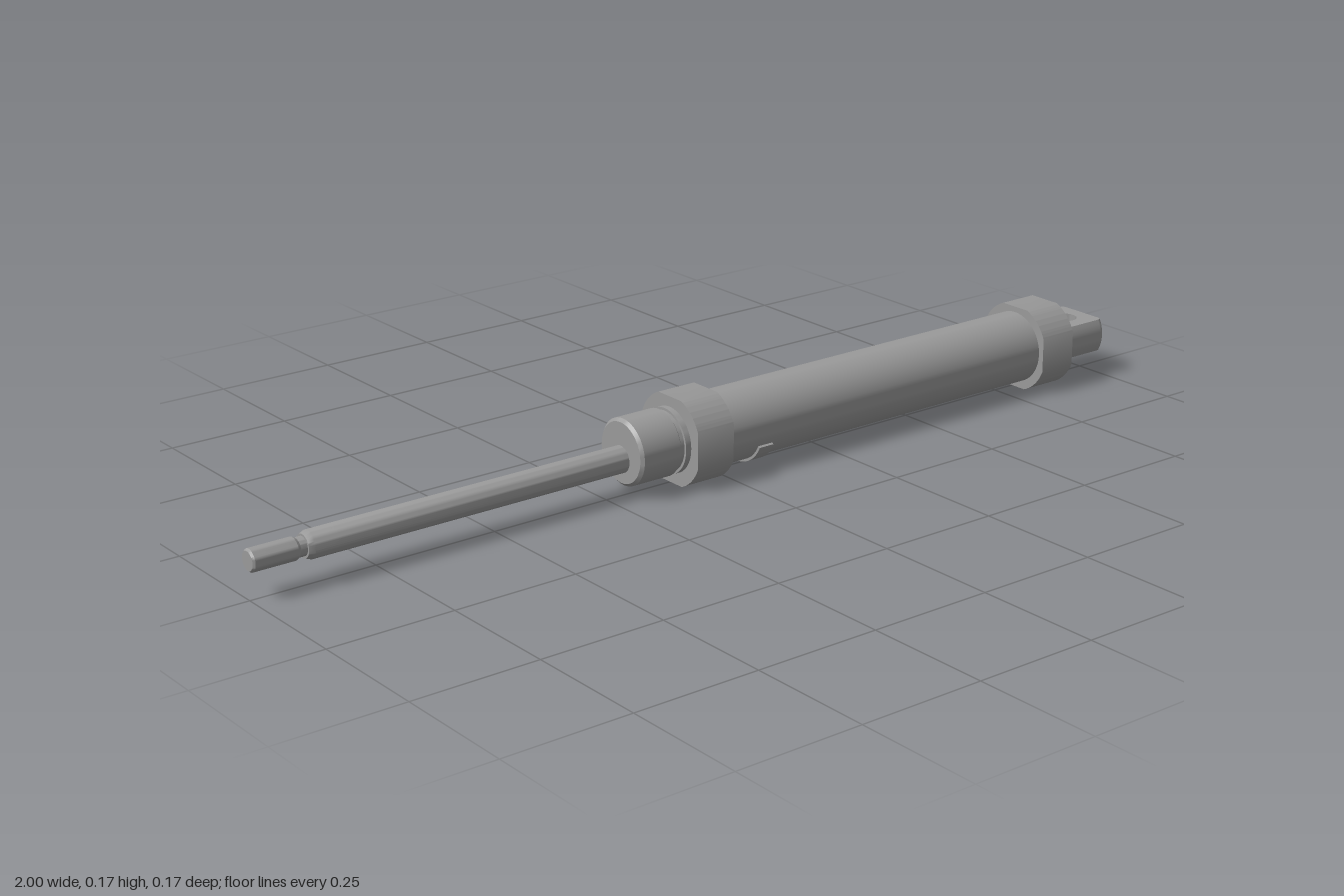
import * as THREE from 'three';
import { toCreasedNormals } from 'three/addons/utils/BufferGeometryUtils.js';

const AXIS = 0.0855; // height of the barrel axis
const material = new THREE.MeshStandardMaterial({ color: 0x9a9a9a });

function part(name, geometry, parent) {
  const mesh = new THREE.Mesh(toCreasedNormals(geometry, 0.5), material);
  mesh.name = name;
  parent.add(mesh);
  return mesh;
}

// Turned part along x from [x, radius] pairs, closed at both ends
function turned(name, profile, parent) {
  const pts = [[profile[0][0], 0], ...profile, [profile[profile.length - 1][0], 0]]
    .map(([x, r]) => new THREE.Vector2(r, x));
  return part(name, new THREE.LatheGeometry(pts, 48).rotateZ(-Math.PI / 2), parent);
}

// Cross-section (-z, y) extruded along x
function alongX(name, shape, x0, x1, parent) {
  const g = new THREE.ExtrudeGeometry(shape, { depth: x1 - x0, bevelEnabled: false, curveSegments: 20 });
  return part(name, g.rotateY(Math.PI / 2).translate(x0, 0, 0), parent);
}

function circleHole(x, y, r) {
  return new THREE.Path().absarc(x, y, r, 0, Math.PI * 2, true);
}

// Round head with four flats; drilled on the back flat and on the lower back arc
function endCap(name, x0, x1, parent) {
  const group = new THREE.Group();
  group.name = name;
  const flat = 0.0855, half = 0.035, depth = 0.025, w = (x1 - x0) / 2;
  const radius = Math.hypot(flat, half), a = Math.atan2(half, flat);
  const inner = radius * (1 - depth / flat);

  // Core cross-section, recessed where the drilled plates sit
  const s = new THREE.Shape();
  s.moveTo(radius * Math.cos(a), radius * Math.sin(a));
  for (let i = 0; i < 3; i++) {
    const q = i * Math.PI / 2;
    s.absarc(0, 0, radius, q + a, q + Math.PI / 2 - a, false);
  }
  for (const [r, t] of [[radius, a - Math.PI / 2], [inner, a - Math.PI / 2], [inner, -a], [inner, a]]) {
    s.lineTo(r * Math.cos(t), r * Math.sin(t));
  }
  s.closePath();
  alongX('capCore', s, x0, x1, group);

  // Mitred plates with holes; the diagonal one follows the round outline
  const rows = Array.from({ length: 9 }, (_, i) => -half + i * half / 4);
  for (const [label, turn, hole, round] of [
    ['backPort', Math.PI, 0.021, false], ['lowerPort', Math.PI * 0.75, 0.02, true],
  ]) {
    const plate = new THREE.Shape([
      ...rows.map((y) => new THREE.Vector2(w, y)),
      ...rows.map((y) => new THREE.Vector2(-w, -y)),
    ]);
    plate.holes.push(circleHole(0, 0, hole));
    const g = new THREE.ExtrudeGeometry(plate, { depth, bevelEnabled: false, curveSegments: 16 });
    g.translate(0, 0, flat - depth);
    const p = g.attributes.position;
    for (let i = 0; i < p.count; i++) {
      const y = p.getY(i), z = p.getZ(i);
      if (Math.abs(p.getX(i)) > w - 0.001) p.setY(i, y * z / flat);
      if (round && z > flat - 0.001) p.setZ(i, Math.sqrt(radius ** 2 - y ** 2));
    }
    part(label, g.rotateX(turn).translate(x0 + w, 0, 0), group);
  }
  parent.add(group);
}

// Flat mounting tongue with round flanks and a vertical pin hole
function tongue(parent) {
  const r = 0.066, h = 0.034, c = 0.012;
  const s = new THREE.Shape();
  s.moveTo(0.9, -r);
  s.lineTo(1 - c, -r);
  s.quadraticCurveTo(1, -r, 1, -r + c);
  s.lineTo(1, r - c);
  s.quadraticCurveTo(1, r, 1 - c, r);
  s.lineTo(0.9, r);
  s.closePath();
  s.holes.push(circleHole(0.945, 0, 0.027));
  const g = new THREE.ExtrudeGeometry(s, { depth: 2 * h, steps: 8, bevelEnabled: false, curveSegments: 16 });
  g.translate(0, 0, -h).rotateX(-Math.PI / 2);
  const p = g.attributes.position;
  for (let i = 0; i < p.count; i++) {
    if (Math.abs(p.getZ(i)) > 0.04) {
      p.setZ(i, p.getZ(i) * Math.sqrt(1 - (p.getY(i) / r) ** 2));
    }
  }
  part('mountingTongue', g, parent);
  const neck = new THREE.BoxGeometry(0.03, 2 * h - 0.006, 0.104);
  part('tongueNeck', neck.translate(0.891, 0, 0), parent);
}

export function createModel() {
  const model = new THREE.Group();
  model.name = 'pneumaticCylinder';
  const body = new THREE.Group();
  body.name = 'cylinderAssembly';
  body.position.y = AXIS;
  model.add(body);

  turned('barrel', [[-0.02, 0.074], [0.805, 0.074]], body);
  endCap('frontCap', -0.1, -0.015, body);
  endCap('rearCap', 0.8, 0.885, body);
  turned('rearBoss', [[0.88, 0.067], [0.888, 0.067]], body);
  tongue(body);

  // Nose collar with a relief groove against the front cap
  turned('noseCollar', [
    [-0.215, 0.06], [-0.209, 0.066], [-0.125, 0.066], [-0.12, 0.06],
    [-0.112, 0.06], [-0.112, 0.065], [-0.095, 0.065],
  ], body);

  // Piston rod with a stepped end, set slightly below the barrel axis
  const rod = new THREE.Group();
  rod.name = 'rodAssembly';
  rod.position.y = -0.0125;
  body.add(rod);
  turned('pistonRod', [[-0.893, 0.022], [-0.882, 0.0265], [-0.2, 0.0265]], rod);
  turned('rodTip', [
    [-1, 0.018], [-0.996, 0.0215], [-0.912, 0.0215], [-0.906, 0.018], [-0.885, 0.018],
  ], rod);

  // Thin band wrapped around the underside of the barrel
  const down = -Math.PI / 2, sweep = 1.13;
  const band = new THREE.Shape();
  band.absarc(0, 0, 0.079, down - sweep, down + sweep, false);
  band.absarc(0, 0, 0.07, down + sweep, down - sweep, true);
  band.closePath();
  alongX('barrelBand', band, 0.06, 0.094, body);

  return model;
}
